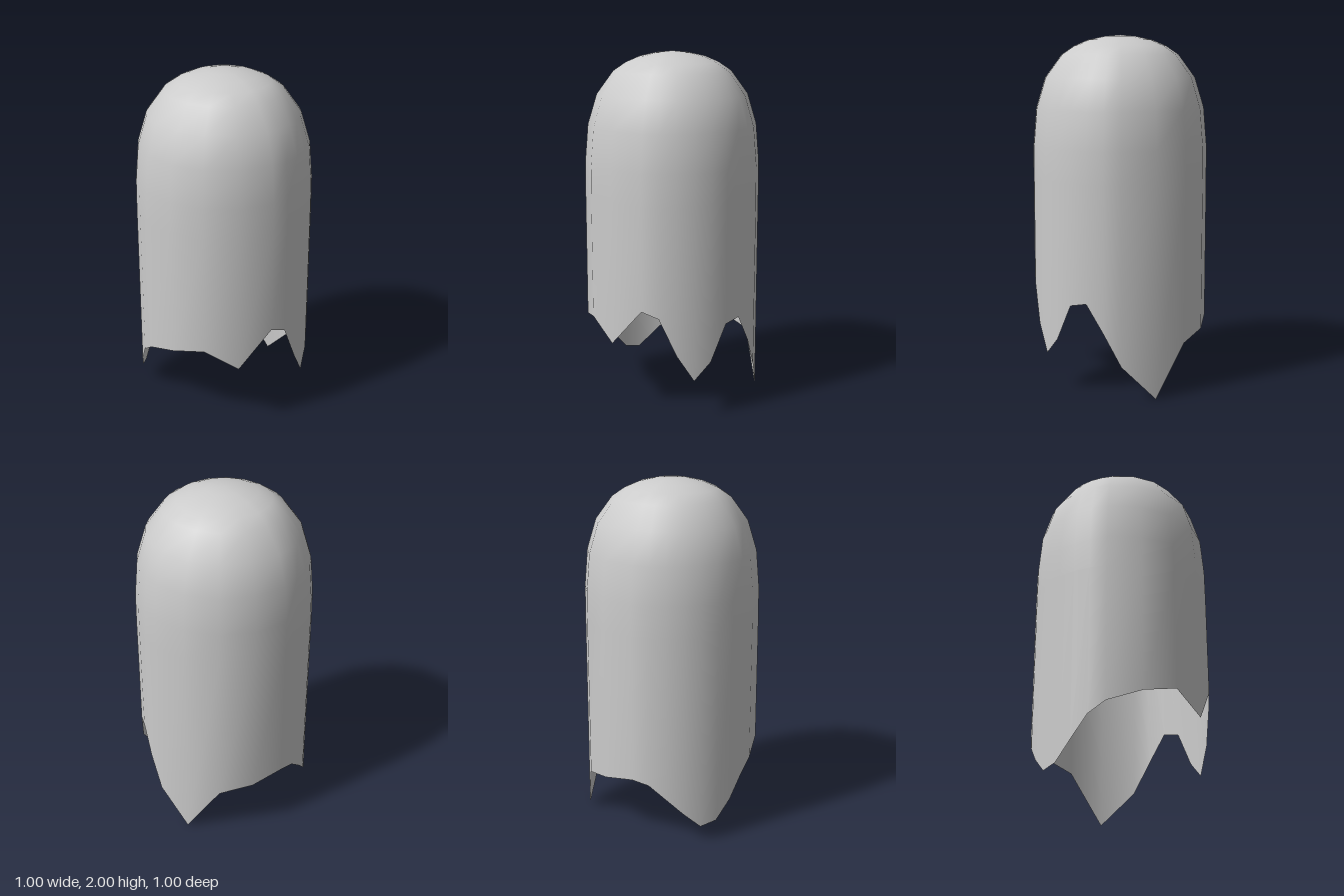
import * as THREE from 'three';

// Angles (degrees) of one side's columns, from the front to the back
const STEPS = [0, 22.5, 45, 56.25, 67.5, 78.75, 90, 101.25, 112.5, 123.75, 135, 157.5];
// Heights of the broken lower rim: front to back on the left, then back to front on the right
const RIM_LEFT = [0.51, 0.4, 0.615, 0.58, 0.37, 0.22, 0.32, 0.525, 0.545, 0.385, 0.2, 0.005];
const RIM_RIGHT = [0.295, 0.335, 0.37, 0.35, 0.27, 0.18, 0.095, 0.115, 0.22, 0.345, 0.41, 0.47];
// Dome profile from the wall up: [radius, height]
const PROFILE = [
  [0.5, 1.2], [0.498, 1.38], [0.48, 1.59], [0.428, 1.76],
  [0.333, 1.89], [0.262, 1.938], [0.185, 1.971], [0.095, 1.991],
];

function createShellGeometry() {
  // The second half uses the mirrored angle steps
  const angles = [...STEPS, 180, ...STEPS.slice(1).reverse().map((a) => 360 - a)];
  const rim = [...RIM_LEFT, ...RIM_RIGHT];
  const n = angles.length;
  const positions = [];
  const index = [];

  const addRing = (radius, heightAt) => angles.forEach((deg, i) => {
    const a = THREE.MathUtils.degToRad(deg);
    positions.push(radius * Math.sin(a), heightAt(i), radius * Math.cos(a));
  });

  // Jagged rim, wall and dome rings, then the top point
  addRing(0.5, (i) => rim[i]);
  PROFILE.forEach(([r, y]) => addRing(r, () => y));
  positions.push(0, 2, 0);

  const rings = PROFILE.length + 1;
  const top = rings * n;
  for (let i = 0; i < n; i++) {
    const j = (i + 1) % n;
    for (let r = 0; r < rings - 1; r++) {
      const a = r * n + i, b = r * n + j;
      index.push(a, b, b + n, a, b + n, a + n);
    }
    index.push((rings - 1) * n + i, (rings - 1) * n + j, top);
  }

  const geometry = new THREE.BufferGeometry();
  geometry.setAttribute('position', new THREE.Float32BufferAttribute(positions, 3));
  geometry.setIndex(index);
  geometry.computeVertexNormals();
  return geometry;
}

export function createModel() {
  const group = new THREE.Group();
  group.name = 'brokenDome';
  // Thin open shell, seen from inside as well
  const material = new THREE.MeshStandardMaterial({ color: 0xcccccc, side: THREE.DoubleSide });
  const shell = new THREE.Mesh(createShellGeometry(), material);
  shell.name = 'shell';
  group.add(shell);
  return group;
}
